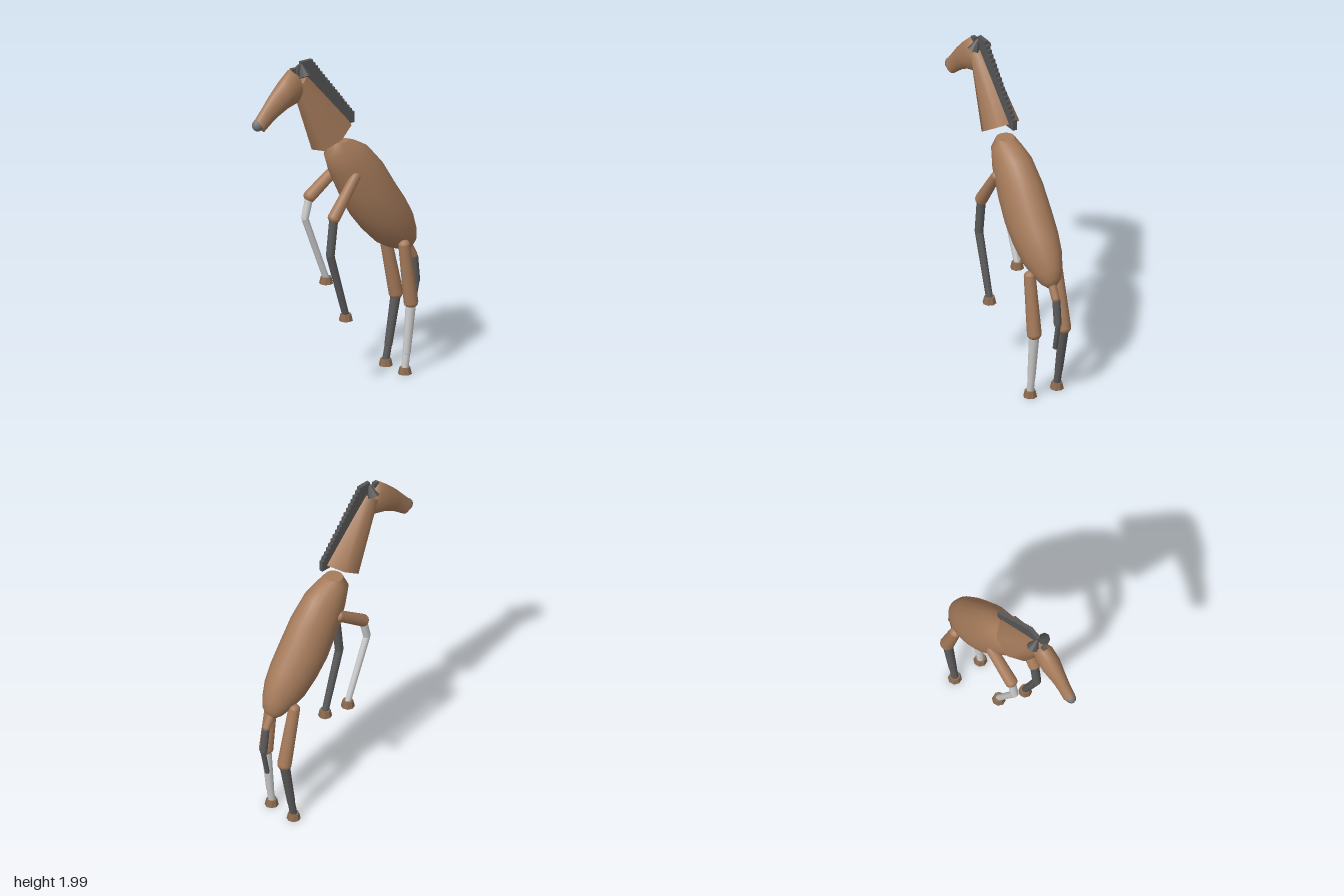
import * as THREE from 'three';

const mat = (color) => new THREE.MeshStandardMaterial({ color });
const COAT = mat(0xa67b5b), DARK = mat(0x5a5a5a), PALE = mat(0xcccccc), HOOF = mat(0x8b6a4f), NOSE = mat(0x777777);
const HAIR = new THREE.MeshStandardMaterial({ color: 0x555555, flatShading: true });
HOOF.flatShading = true;

// Smooth skin over elliptical sections [z1, y1, z2, y2, halfWidth], with flat end caps
function loft(sections, sides, phase = 0) {
  const pos = [], idx = [];
  const ring = ([z1, y1, z2, y2, w]) => {
    for (let j = 0; j < sides; j++) {
      const a = phase + (j / sides) * Math.PI * 2, c = Math.cos(a) / 2;
      pos.push(Math.sin(a) * w, (y1 + y2) / 2 + (y2 - y1) * c, (z1 + z2) / 2 + (z2 - z1) * c);
    }
  };
  sections.forEach(ring);
  for (let i = 0; i < sections.length - 1; i++) {
    for (let j = 0; j < sides; j++) {
      const a = i * sides + j, b = i * sides + (j + 1) % sides;
      idx.push(a, b, a + sides, b, b + sides, a + sides);
    }
  }
  [sections[0], sections.at(-1)].forEach((s, end) => {
    const k = pos.length / 3;
    ring(s);
    for (let j = 1; j < sides - 1; j++) {
      if (end) idx.push(k, k + j, k + j + 1);
      else idx.push(k, k + j + 1, k + j);
    }
  });
  const g = new THREE.BufferGeometry();
  g.setAttribute('position', new THREE.Float32BufferAttribute(pos, 3));
  g.setIndex(idx);
  g.computeVertexNormals();
  return g;
}

// Tapered limb segment with rounded ends between two points
function limb(name, from, to, r0, r1, material, round = 0.8) {
  const a = new THREE.Vector3(...from), dir = new THREE.Vector3(...to).sub(a), len = dir.length();
  const pts = [];
  for (let i = 0; i <= 4; i++) {
    const t = (i / 4) * Math.PI / 2;
    pts.push(new THREE.Vector2(r0 * Math.sin(t), -r0 * round * Math.cos(t)));
  }
  for (let i = 4; i >= 0; i--) {
    const t = (i / 4) * Math.PI / 2;
    pts.push(new THREE.Vector2(r1 * Math.sin(t), len + r1 * round * Math.cos(t)));
  }
  const m = new THREE.Mesh(new THREE.LatheGeometry(pts, 12), material);
  m.name = name;
  m.position.copy(a);
  m.quaternion.setFromUnitVectors(new THREE.Vector3(0, 1, 0), dir.normalize());
  return m;
}

// A leg is a chain of joints [z, y], a pair of radii per segment, and a hoof
function leg(name, x, joints, radii, lower, hoofY) {
  const g = new THREE.Group();
  g.name = name;
  const names = ['upperLeg', 'lowerLeg', 'shank'];
  for (let i = 0; i < 3; i++) {
    const [z0, y0] = joints[i], [z1, y1] = joints[i + 1];
    g.add(limb(names[i], [x, y0, z0], [x, y1, z1], ...radii[i], i ? lower : COAT, i ? 0.3 : 0.8));
  }
  const hoof = new THREE.Mesh(new THREE.CylinderGeometry(0.031, 0.04, 0.04, 8), HOOF);
  hoof.name = 'hoof';
  hoof.position.set(x, hoofY + 0.02, joints[3][0]);
  g.add(hoof);
  return g;
}

export function createModel() {
  const model = new THREE.Group();
  model.name = 'rearingHorse';
  const add = (name, geo, material, x = 0, y = 0, z = 0) => {
    const m = new THREE.Mesh(geo, material);
    m.name = name;
    m.position.set(x, y, z);
    model.add(m);
    return m;
  };

  // Body, chest to rump
  add('body', loft([
    [0.03, 1.46, -0.07, 1.46, 0.055], [0.07, 1.38, -0.13, 1.44, 0.08],
    [0.03, 1.265, -0.21, 1.395, 0.108], [-0.05, 1.10, -0.31, 1.28, 0.125],
    [-0.12, 0.98, -0.40, 1.135, 0.13], [-0.20, 0.88, -0.47, 1.03, 0.125],
    [-0.29, 0.79, -0.52, 0.94, 0.11], [-0.37, 0.745, -0.548, 0.85, 0.085],
    [-0.45, 0.715, -0.553, 0.79, 0.06], [-0.49, 0.705, -0.54, 0.75, 0.03],
  ], 24), COAT);

  // Seven-sided neck, top to bottom
  add('neck', loft([[0.305, 1.85, 0.22, 1.915, 0.052], [0.155, 1.43, -0.09, 1.58, 0.104]],
    7, 195 * Math.PI / 180), COAT);

  // Head, muzzle to poll
  add('head', loft([
    [0.515, 1.625, 0.57, 1.70, 0.034], [0.47, 1.66, 0.515, 1.765, 0.036],
    [0.43, 1.69, 0.465, 1.825, 0.042], [0.355, 1.73, 0.39, 1.90, 0.057],
    [0.28, 1.75, 0.325, 1.957, 0.055], [0.25, 1.79, 0.28, 1.92, 0.045],
  ], 16), COAT);
  const nose = add('nose', new THREE.SphereGeometry(0.036, 12, 8), NOSE, 0, 1.672, 0.552);
  nose.scale.set(0.85, 1, 1);

  // Ears, meeting at the crown, and forelock
  for (const s of [1, -1]) {
    const ear = add(s > 0 ? 'leftEar' : 'rightEar', new THREE.ConeGeometry(0.036, 0.09, 8), HAIR, s * 0.02, 1.947, 0.25);
    ear.rotation.z = s * 0.5;
  }
  add('forelock', new THREE.BoxGeometry(0.024, 0.045, 0.03), HAIR, 0, 1.937, 0.305);

  // Mane stepping down the neck
  const steps = 18;
  for (let i = 0; i < steps; i++) {
    const t = i / (steps - 1);
    add('maneTuft', new THREE.BoxGeometry(0.024, 0.065, 0.08), HAIR, 0, 1.957 - 0.374 * t, 0.212 - 0.294 * t);
  }

  // Raised front legs
  const frontR = [[0.029, 0.037], [0.026, 0.025], [0.024, 0.02]];
  const farR = [[0.033, 0.037], [0.024, 0.022], [0.02, 0.018]];
  model.add(leg('leftFrontLeg', 0.093, [[-0.07, 1.26], [0.085, 1.04], [0.11, 0.82], [0, 0.44]], frontR, DARK, 0.41));
  model.add(leg('rightFrontLeg', -0.093, [[-0.07, 1.255], [0.118, 1.125], [0.15, 1.0], [0, 0.61]], farR, PALE, 0.58));

  // Standing hind legs
  const hindR = [[0.034, 0.042], [0.03, 0.023], [0.021, 0.021]];
  model.add(leg('leftHindLeg', 0.09, [[-0.415, 0.775], [-0.463, 0.42], [-0.432, 0.12], [-0.42, 0.035]], hindR, PALE, 0));
  model.add(leg('rightHindLeg', -0.09, [[-0.415, 0.775], [-0.492, 0.42], [-0.438, 0.12], [-0.42, 0.035]], hindR, DARK, 0));

  // Tail
  const tail = new THREE.Group();
  tail.name = 'tail';
  tail.add(limb('tailBase', [0, 0.73, -0.51], [0, 0.66, -0.547], 0.024, 0.024, COAT));
  tail.add(limb('tailMiddle', [0, 0.65, -0.553], [0, 0.5, -0.568], 0.023, 0.022, DARK, 0.3));
  tail.add(limb('tailTip', [0, 0.5, -0.573], [0, 0.34, -0.54], 0.015, 0.014, DARK, 0.3));
  model.add(tail);
  return model;
}
